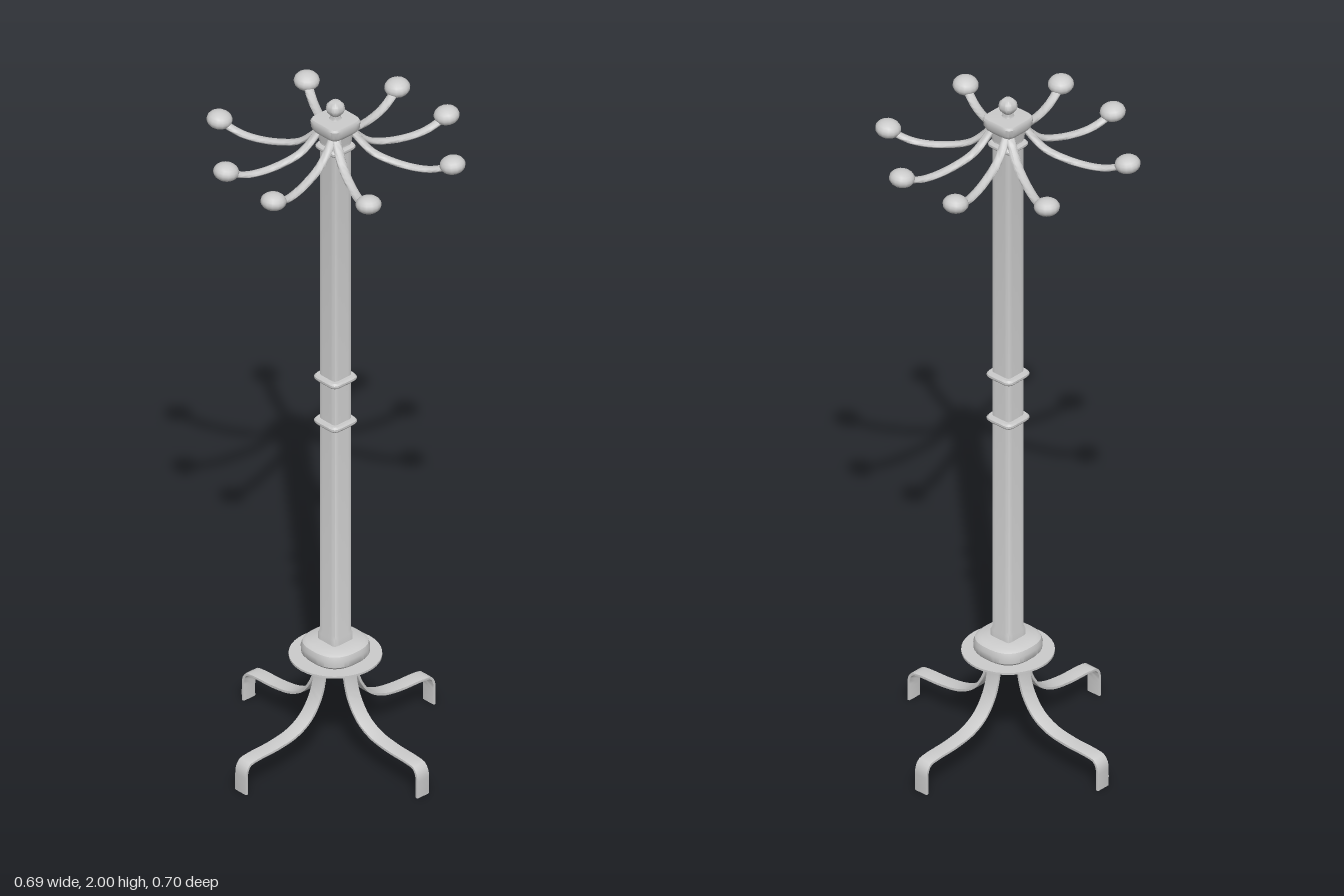
import * as THREE from 'three';
import { toCreasedNormals } from 'three/addons/utils/BufferGeometryUtils.js';

const material = new THREE.MeshStandardMaterial({ color: 0xcccccc, side: THREE.DoubleSide });

function add(parent, name, geometry) {
  const mesh = new THREE.Mesh(geometry, material);
  mesh.name = name;
  parent.add(mesh);
  return mesh;
}

// Lathe whose round section is pushed out towards a square (power 2 = circle)
function squareLathe(profile, power) {
  const geo = new THREE.LatheGeometry(profile.map(([r, y]) => new THREE.Vector2(r, y)), 40);
  const p = geo.attributes.position;
  for (let i = 0; i < p.count; i++) {
    const x = p.getX(i), z = p.getZ(i), r = Math.hypot(x, z);
    if (r < 1e-6) continue;
    const k = Math.pow(Math.abs(x / r) ** power + Math.abs(z / r) ** power, -1 / power);
    p.setX(i, x * k);
    p.setZ(i, z * k);
  }
  return toCreasedNormals(geo, 0.6);
}

// Sweep a flat section (half width, half thickness) along a path in a vertical plane
function sweep(points, halfW, halfT, power, steps) {
  const curve = new THREE.CatmullRomCurve3(points, false, 'centripetal');
  const a = points[0], b = points[points.length - 1], sides = 12;
  const side = new THREE.Vector3(b.z - a.z, 0, a.x - b.x).normalize();
  const pos = [], index = [];
  for (let i = 0; i <= steps; i++) {
    const c = curve.getPointAt(i / steps);
    const n = curve.getTangentAt(i / steps).cross(side);
    for (let j = 0; j < sides; j++) {
      const t = (j / sides) * Math.PI * 2, cs = Math.cos(t), sn = Math.sin(t);
      const u = Math.sign(cs) * Math.abs(cs) ** (2 / power) * halfW;
      const v = Math.sign(sn) * Math.abs(sn) ** (2 / power) * halfT;
      const q = c.clone().addScaledVector(side, u).addScaledVector(n, v);
      pos.push(q.x, q.y, q.z);
      if (i < steps) {
        const k = i * sides + j, m = i * sides + (j + 1) % sides;
        index.push(k, k + sides, m, m, k + sides, m + sides);
      }
    }
  }
  // End caps, and winding turned to face outwards
  const last = steps * sides;
  for (let j = 1; j < sides - 1; j++) {
    index.push(0, j, j + 1, last, last + j + 1, last + j);
  }
  for (let i = 0; i < index.length; i += 3) {
    [index[i + 1], index[i + 2]] = [index[i + 2], index[i + 1]];
  }
  const geo = new THREE.BufferGeometry();
  geo.setAttribute('position', new THREE.Float32BufferAttribute(pos, 3));
  geo.setIndex(index);
  return toCreasedNormals(geo, 0.9);
}

export function createModel() {
  const model = new THREE.Group();
  model.name = 'coatStand';

  // Square post with a slightly wider foot
  add(model, 'post', squareLathe([
    [0, 0.29], [0.035, 0.29], [0.035, 0.355], [0.031, 0.365], [0.031, 1.9], [0, 1.9],
  ], 9));

  // Thin bands around the post
  for (const [y, r] of [[1.01, 0.045], [1.145, 0.045], [1.86, 0.042]]) {
    add(model, 'band', squareLathe([
      [0.029, y - 0.008], [r - 0.004, y - 0.008], [r, y - 0.003],
      [r, y + 0.003], [r - 0.004, y + 0.008], [0.029, y + 0.008],
    ], 6));
  }

  // Base disc and rounded collar
  const disc = add(model, 'baseDisc', new THREE.CylinderGeometry(0.124, 0.124, 0.006, 40));
  disc.position.y = 0.288;
  add(model, 'collar', squareLathe([
    [0, 0.289], [0.078, 0.289], [0.084, 0.297], [0.085, 0.315],
    [0.081, 0.328], [0.072, 0.334], [0.03, 0.336], [0, 0.336],
  ], 2.6));

  // Four bent strap legs
  const legPath = [
    [0.054, 0.287], [0.057, 0.235], [0.074, 0.18], [0.108, 0.133], [0.155, 0.106], [0.22, 0.094],
    [0.3, 0.09], [0.325, 0.085], [0.336, 0.068], [0.338, 0.04], [0.338, 0],
  ].map(([x, y]) => new THREE.Vector3(x, y, 0));
  const legGeometry = sweep(legPath, 0.022, 0.0045, 6, 48);
  for (let i = 0; i < 4; i++) {
    add(model, 'leg', legGeometry).rotation.y = i * Math.PI / 2;
  }

  // Flared cap and ball finial
  add(model, 'cap', squareLathe([
    [0, 1.875], [0.034, 1.875], [0.037, 1.9], [0.046, 1.908], [0.051, 1.918],
    [0.053, 1.938], [0.05, 1.944], [0, 1.946],
  ], 6));
  add(model, 'finial', squareLathe([
    [0.016, 1.944], [0.013, 1.95], [0.013, 1.957], [0.02, 1.965], [0.0235, 1.976],
    [0.021, 1.988], [0.013, 1.997], [0, 2],
  ], 2.7));

  // Eight curved arms, two from each corner of the cap, each ending in a flattened ball
  const knobs = [
    [-0.105, -0.32], [0.087, -0.32], [0.283, -0.16], [0.28, 0.14],
    [0.097, 0.313], [-0.098, 0.303], [-0.305, 0.135], [-0.293, -0.168],
  ];
  const drop = [[0, 1.91], [0.06, 1.89], [0.2, 1.856], [0.4, 1.838], [0.63, 1.831], [0.8, 1.836], [1, 1.858]];
  const knobGeometry = new THREE.SphereGeometry(0.035, 14, 10);
  for (const [x, z] of knobs) {
    const wide = Math.abs(x) > Math.abs(z);
    const sx = Math.sign(x) * (wide ? 0.034 : 0.027), sz = Math.sign(z) * (wide ? 0.03 : 0.034);
    const path = drop.map(([t, y]) => new THREE.Vector3(sx + (x - sx) * t, y, sz + (z - sz) * t));
    const arm = new THREE.Group();
    arm.name = 'arm';
    add(arm, 'armRod', sweep(path, 0.013, 0.008, 2, 24));
    const knob = add(arm, 'knob', knobGeometry);
    knob.position.set(x, 1.862, z);
    knob.rotation.order = 'YXZ';
    knob.rotation.set(0, Math.atan2(-z, x), 0.12);
    knob.scale.y = 0.7;
    model.add(arm);
  }
  return model;
}
